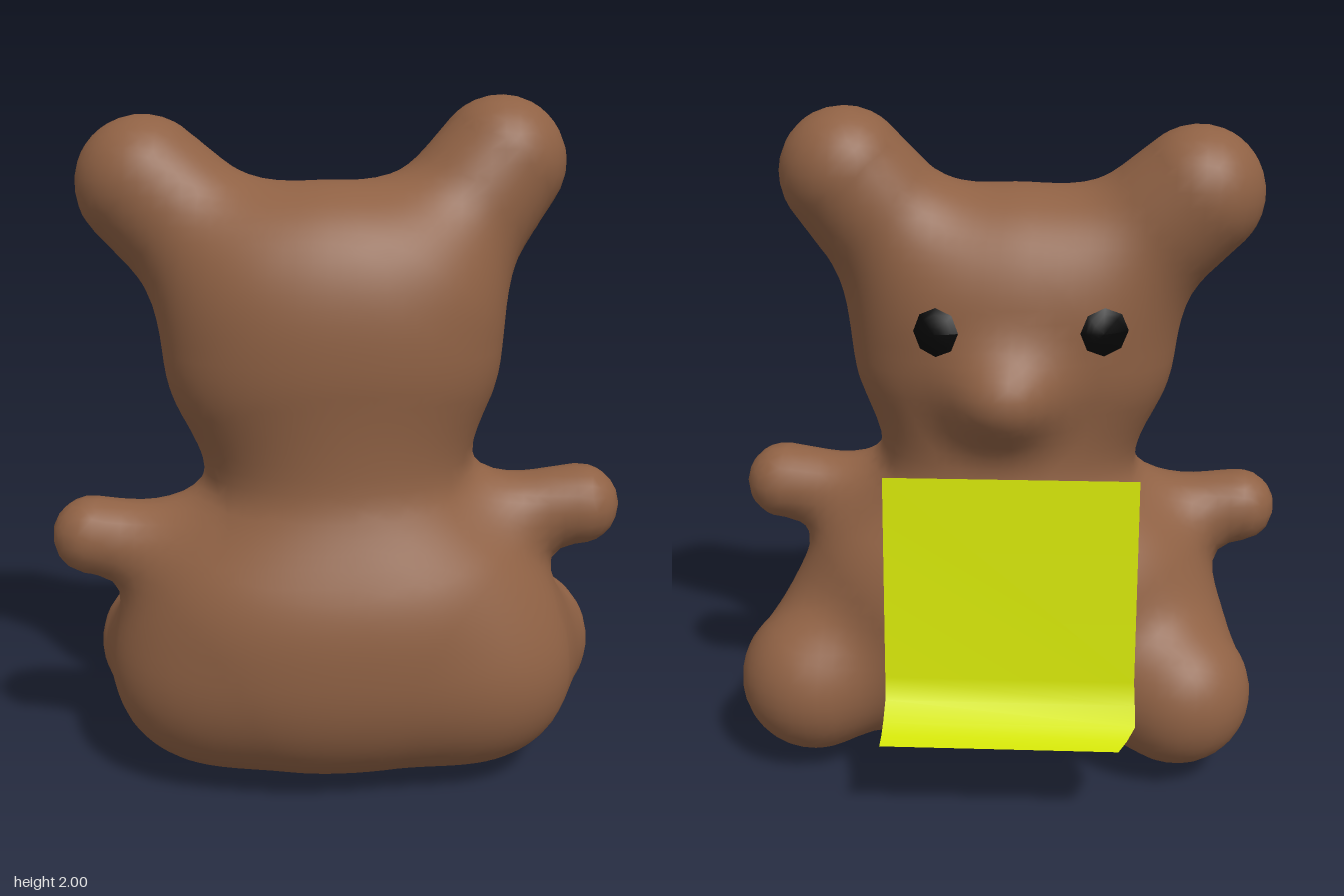
import * as THREE from 'three';

const YAW = 0.13, COS = Math.cos(YAW), SIN = Math.sin(YAW);

// Rounded lump: distance to a (super)ellipsoid turned by the bear's slight yaw
function lump(c, r, e = 2) {
  return (x, y, z) => {
    const dx = x - c[0], dz = z - c[2];
    const u = [(dx * COS - dz * SIN) / r[0], (y - c[1]) / r[1], (dx * SIN + dz * COS) / r[2]].map(Math.abs);
    const k = Math.max(1e-3, (u[0] ** e + u[1] ** e + u[2] ** e) ** (1 / e));
    const g = u.map((v, i) => (v / k) ** (e - 1) / r[i]);
    return (k - 1) / Math.hypot(...g);
  };
}

// Limb: distance to a tapered capsule from a to b
function limb(a, b, ra, rb) {
  const d = b.map((v, i) => v - a[i]), l2 = d[0] ** 2 + d[1] ** 2 + d[2] ** 2;
  return (x, y, z) => {
    const p = [x - a[0], y - a[1], z - a[2]];
    const t = Math.min(1, Math.max(0, (p[0] * d[0] + p[1] * d[1] + p[2] * d[2]) / l2));
    return Math.hypot(p[0] - t * d[0], p[1] - t * d[1], p[2] - t * d[2]) - ra - t * (rb - ra);
  };
}

// Parts of the plush body, each with the softness of its seam
const parts = [
  [lump([0, 0.46, 0.12], [0.64, 0.46, 0.46], 2.3), 0.1],                 // torso
  [lump([0, 0.98, 0.13], [0.33, 0.25, 0.27]), 0.25],                     // neck
  [lump([-0.02, 1.33, 0.13], [0.49, 0.44, 0.335], 2.25), 0.14],          // head
  [lump([-0.03, 1.2, -0.17], [0.12, 0.1, 0.13]), 0.16],                  // snout
  [limb([-0.25, 1.48, 0.14], [-0.555, 1.755, 0.115], 0.22, 0.195), 0.12], // ears
  [limb([0.22, 1.5, 0.08], [0.455, 1.81, -0.01], 0.22, 0.19), 0.12],
  [limb([-0.4, 0.7, 0.22], [-0.72, 0.75, 0.25], 0.125, 0.115), 0.13],    // arms
  [limb([0.35, 0.77, 0.11], [0.71, 0.815, 0.09], 0.11, 0.12), 0.13],
  [limb([-0.4, 0.32, 0.2], [-0.555, 0.27, -0.105], 0.27, 0.225), 0.14],  // legs
  [limb([0.42, 0.33, 0.17], [0.56, 0.27, -0.17], 0.28, 0.23), 0.14],
];

// Soft union of all parts
function field(x, y, z) {
  let d = 10;
  for (const [f, k] of parts) {
    const v = f(x, y, z), h = Math.max(k - Math.abs(d - v), 0) / k;
    d = Math.min(d, v) - h * h * k / 4;
  }
  return d;
}

function gradient(x, y, z) {
  const e = 0.004;
  return new THREE.Vector3(
    field(x + e, y, z) - field(x - e, y, z),
    field(x, y + e, z) - field(x, y - e, z),
    field(x, y, z + e) - field(x, y, z - e)).normalize();
}

// Skin the soft union: one vertex per boundary cell, one quad per crossed grid edge
function skinGeometry() {
  const step = 0.04, min = [-1, -0.12, -0.56], n = [51, 58, 33];
  const stride = [1, n[0], n[0] * n[1]];
  const values = new Float32Array(n[0] * n[1] * n[2]);
  const at = (i, j, k) => i + j * stride[1] + k * stride[2];
  for (let k = 0; k < n[2]; k++) for (let j = 0; j < n[1]; j++) for (let i = 0; i < n[0]; i++)
    values[at(i, j, k)] = field(min[0] + i * step, min[1] + j * step, min[2] + k * step);

  const cell = new Map(), positions = [], normals = [], index = [];
  for (let k = 0; k < n[2] - 1; k++) for (let j = 0; j < n[1] - 1; j++) for (let i = 0; i < n[0] - 1; i++) {
    const sum = [0, 0, 0];
    let hits = 0;
    for (let c = 0; c < 8; c++) for (let a = 0; a < 3; a++) {
      if (c >> a & 1) continue;
      const o = [c & 1, c >> 1 & 1, c >> 2 & 1];
      const s = at(i + o[0], j + o[1], k + o[2]), v0 = values[s], v1 = values[s + stride[a]];
      if (v0 < 0 === v1 < 0) continue;
      o[a] += v0 / (v0 - v1);
      o.forEach((v, q) => { sum[q] += v; });
      hits++;
    }
    if (!hits) continue;
    const p = new THREE.Vector3(...[i, j, k].map((v, q) => min[q] + (v + sum[q] / hits) * step));
    for (let r = 0; r < 2; r++) p.addScaledVector(gradient(p.x, p.y, p.z), -0.8 * field(p.x, p.y, p.z));
    cell.set(at(i, j, k), positions.length / 3);
    positions.push(p.x, p.y, p.z);
    normals.push(...gradient(p.x, p.y, p.z));
  }
  for (let k = 1; k < n[2] - 1; k++) for (let j = 1; j < n[1] - 1; j++) for (let i = 1; i < n[0] - 1; i++) {
    const s = at(i, j, k);
    for (let a = 0; a < 3; a++) {
      const inside = values[s] < 0;
      if (inside === values[s + stride[a]] < 0) continue;
      const b = stride[(a + 1) % 3], c = stride[(a + 2) % 3];
      const q = [s, s - b, s - b - c, s - c].map(v => cell.get(v));
      if (!inside) q.reverse();
      index.push(q[0], q[1], q[2], q[0], q[2], q[3]);
    }
  }
  const g = new THREE.BufferGeometry();
  g.setAttribute('position', new THREE.Float32BufferAttribute(positions, 3));
  g.setAttribute('normal', new THREE.Float32BufferAttribute(normals, 3));
  g.setIndex(index);
  return g;
}

// Eye: a small domed button laid onto the face, its rim sunk into the fur
function eyeGeometry(cx, cy) {
  const g = new THREE.RingGeometry(0.001, 1, 8, 4);
  const pos = g.attributes.position;
  for (let i = 0; i < pos.count; i++) {
    const u = pos.getX(i), v = pos.getY(i);
    const x = cx - 0.066 * u, y = cy + 0.07 * v;
    let z = -0.55;
    for (let s = 0; s < 60; s++) z += 0.6 * field(x, y, z);
    pos.setXYZ(i, x, y, z - 0.006 - 0.024 * (1 - u * u - v * v));
  }
  g.computeVertexNormals();
  return g;
}

// Sheet: rows of [height, forward offset, right x, left x], curling out at the foot
function sheetGeometry() {
  const rows = [
    [1.01, 0, -0.437, 0.285], [0.41, 0.05, -0.44, 0.28], [0.345, 0.07, -0.445, 0.277],
    [0.305, 0.125, -0.45, 0.272], [0.285, 0.17, -0.43, 0.268], [0.277, 0.215, -0.41, 0.264],
  ];
  const positions = [], index = [];
  rows.forEach(([y, d, x0, x1], r) => {
    for (const x of [x0, x1]) positions.push(x, y, -0.342 - 0.1 * x - d);
    if (r) {
      const a = 2 * r - 2;
      index.push(a, a + 1, a + 2, a + 1, a + 3, a + 2);
    }
  });
  const g = new THREE.BufferGeometry();
  g.setAttribute('position', new THREE.Float32BufferAttribute(positions, 3));
  g.setIndex(index);
  g.computeVertexNormals();
  return g;
}

export function createModel() {
  const material = (name, color, side = THREE.FrontSide) =>
    Object.assign(new THREE.MeshStandardMaterial({ color, side }), { name });
  const fur = material('brown fur', 0x8f6144);
  const black = material('eye black', 0x060606, THREE.DoubleSide);
  const lime = material('lime sheet', 0xd4e507, THREE.DoubleSide);

  const model = new THREE.Group();
  model.name = 'bearWithSheet';
  const add = (name, geometry, mat) => {
    const m = new THREE.Mesh(geometry, mat);
    m.name = name;
    model.add(m);
  };
  add('body', skinGeometry(), fur);
  add('leftEye', eyeGeometry(0.157, 1.395), black);
  add('rightEye', eyeGeometry(-0.315, 1.395), black);
  add('sheet', sheetGeometry(), lime);
  return model;
}
